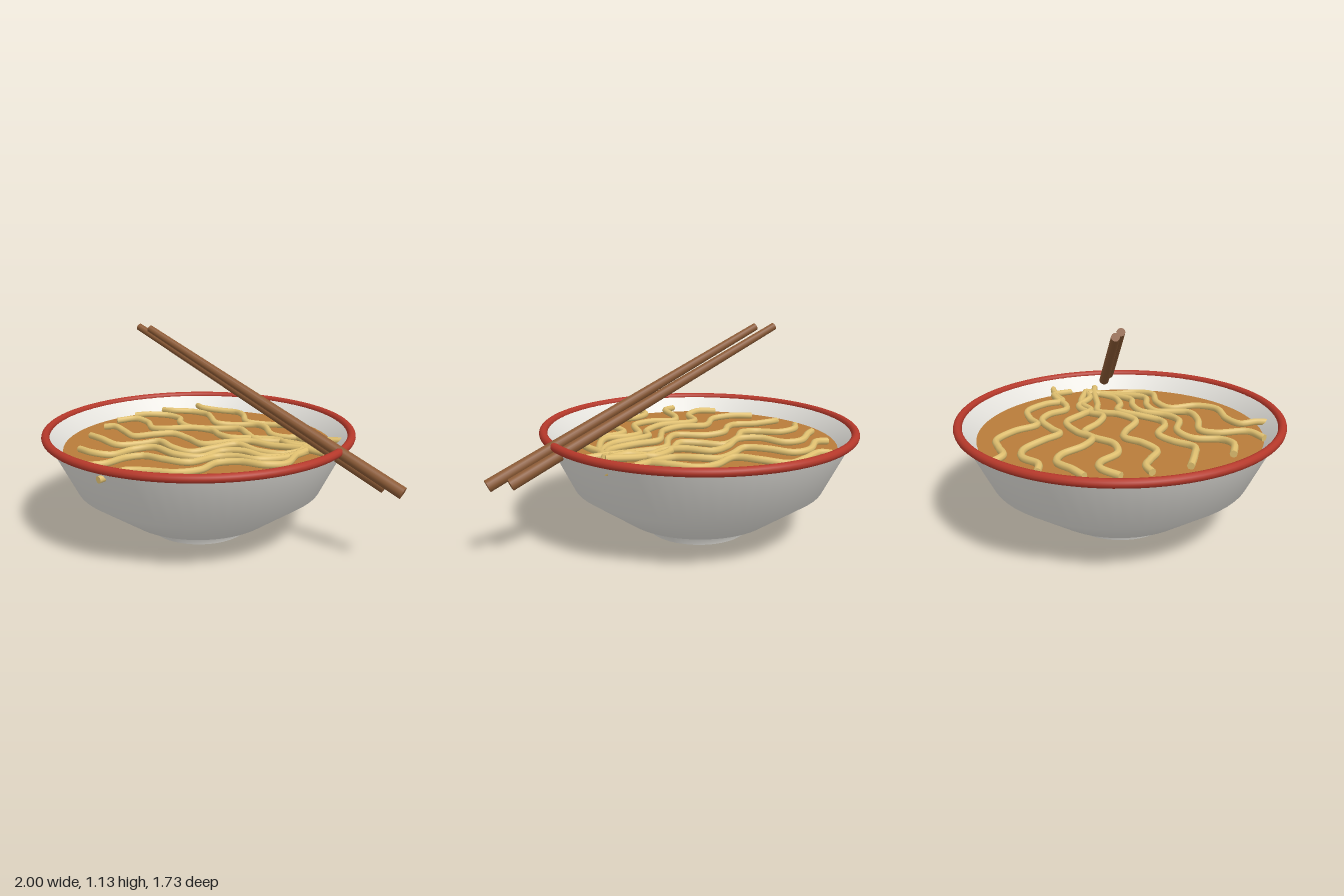
import * as THREE from 'three';

const material = (name, color) => {
  const m = new THREE.MeshStandardMaterial({ color });
  m.name = name;
  return m;
};

export function createModel() {
  const porcelain = material('white porcelain', 0xefede7);
  const red = material('red glaze', 0xb5382a);
  const broth = material('brown broth', 0xb87c3a);
  const dough = material('yellow noodle', 0xe0c070);
  const wood = material('brown wood', 0x8b5a35);

  const model = new THREE.Group();
  model.name = 'noodleBowl';

  const add = (parent, name, geometry, mat) => {
    const mesh = new THREE.Mesh(geometry, mat);
    mesh.name = name;
    parent.add(mesh);
    return mesh;
  };
  const lathe = (pairs) =>
    new THREE.LatheGeometry(pairs.map(([r, y]) => new THREE.Vector2(r, y)), 64);

  // Bowl: outer wall with foot, inner wall, base, rim and broth
  const bowl = new THREE.Group();
  bowl.name = 'bowl';
  bowl.position.x = -0.13;
  model.add(bowl);
  add(bowl, 'outerWall',
    lathe([[0.28, 0], [0.31, 0.072], [0.42, 0.09], [0.69, 0.28], [0.84, 0.585]]), porcelain);
  add(bowl, 'innerWall',
    lathe([[0.83, 0.59], [0.755, 0.5], [0.64, 0.3], [0.38, 0.12], [0, 0.1]]), porcelain);
  add(bowl, 'footBase', new THREE.CircleGeometry(0.28, 64).rotateX(Math.PI / 2), porcelain);
  add(bowl, 'rim', new THREE.TorusGeometry(0.843, 0.022, 12, 96).rotateX(Math.PI / 2), red)
    .position.y = 0.583;
  add(bowl, 'soup', new THREE.CircleGeometry(0.757, 64).rotateX(-Math.PI / 2), broth)
    .position.y = 0.5;

  // Noodles: wavy tubes fanning out from a gathered end, given as x, z pairs
  const noodles = new THREE.Group();
  noodles.name = 'noodles';
  model.add(noodles);
  const noodle = (...xz) => {
    const points = [];
    for (let i = 0; i < xz.length; i += 2) {
      const lift = 0.525 + 0.006 * Math.sin(i * 0.9);
      points.push(new THREE.Vector3(xz[i], lift, xz[i + 1]));
    }
    const curve = new THREE.CatmullRomCurve3(points);
    add(noodles, 'noodle', new THREE.TubeGeometry(curve, 90, 0.019, 8), dough);
    // Closed ends
    for (const [t, sign] of [[0, -1], [1, 1]]) {
      const cap = add(noodles, 'noodleEnd', new THREE.CircleGeometry(0.019, 8), dough);
      cap.position.copy(curve.getPoint(t));
      cap.lookAt(cap.position.clone().addScaledVector(curve.getTangent(t), sign));
    }
  };
  noodle(-0.74, -0.48, -0.66, -0.45, -0.56, -0.51, -0.45, -0.57, -0.33, -0.52, -0.21, -0.44,
    -0.1, -0.52, 0, -0.57, 0.13, -0.51, 0.23, -0.44, 0.33, -0.51, 0.44, -0.57);
  noodle(-0.79, -0.23, -0.72, -0.25, -0.64, -0.36, -0.54, -0.39, -0.42, -0.33, -0.31, -0.28,
    -0.23, -0.35, -0.13, -0.44, -0.04, -0.43, 0.08, -0.37, 0.17, -0.4, 0.25, -0.48,
    0.33, -0.52, 0.43, -0.45);
  noodle(-0.79, -0.01, -0.74, -0.08, -0.66, -0.18, -0.56, -0.19, -0.45, -0.11, -0.33, -0.1,
    -0.24, -0.21, -0.13, -0.3, 0, -0.25, 0.11, -0.23, 0.22, -0.32, 0.42, -0.35);
  noodle(-0.75, 0.15, -0.7, 0.04, -0.61, 0.02, -0.48, 0.07, -0.39, 0.03, -0.32, -0.1,
    -0.23, -0.17, -0.1, -0.13, 0, -0.13, 0.07, -0.24, 0.17, -0.32, 0.3, -0.29, 0.42, -0.35);
  noodle(-0.68, 0.28, -0.63, 0.24, -0.53, 0.24, -0.41, 0.25, -0.34, 0.16, -0.29, 0.06,
    -0.18, 0.04, -0.02, 0.06, 0.05, -0.05, 0.09, -0.18, 0.22, -0.22, 0.4, -0.29, 0.52, -0.32);
  noodle(-0.57, 0.44, -0.45, 0.44, -0.32, 0.42, -0.26, 0.3, -0.21, 0.22, -0.07, 0.23,
    0.03, 0.19, 0.07, 0.06, 0.11, -0.07, 0.25, -0.09, 0.38, -0.17, 0.42, -0.35);
  noodle(-0.38, 0.62, -0.26, 0.61, -0.19, 0.54, -0.2, 0.4, -0.14, 0.31, 0.03, 0.29,
    0.13, 0.2, 0.14, 0.06, 0.22, -0.01, 0.35, -0.05, 0.42, -0.18, 0.42, -0.35);
  noodle(-0.13, 0.755, -0.065, 0.67, -0.1, 0.51, -0.075, 0.42, 0.06, 0.39, 0.18, 0.32,
    0.18, 0.14, 0.25, 0.07, 0.38, 0.03, 0.43, -0.13, 0.42, -0.32);
  noodle(0.11, 0.8, 0.1, 0.71, 0.07, 0.62, 0.14, 0.54, 0.27, 0.47, 0.31, 0.35,
    0.26, 0.2, 0.33, 0.11, 0.46, 0.06, 0.5, -0.05, 0.44, -0.18, 0.38, -0.32);

  // Chopsticks: a parallel pair of tapered rods resting across the rim
  const thin = new THREE.Vector3(-0.575, 1.115, 0.085);
  const thick = new THREE.Vector3(0.88, 0.428, -0.365);
  const axis = thin.clone().sub(thick);
  const rod = new THREE.CylinderGeometry(0.02, 0.032, axis.length(), 16);
  for (const dx of [0, 0.107]) {
    const stick = add(model, 'chopstick', rod, wood);
    stick.position.copy(thin).add(thick).multiplyScalar(0.5);
    stick.position.x += dx;
    stick.quaternion.setFromUnitVectors(new THREE.Vector3(0, 1, 0), axis.clone().normalize());
  }
  return model;
}
